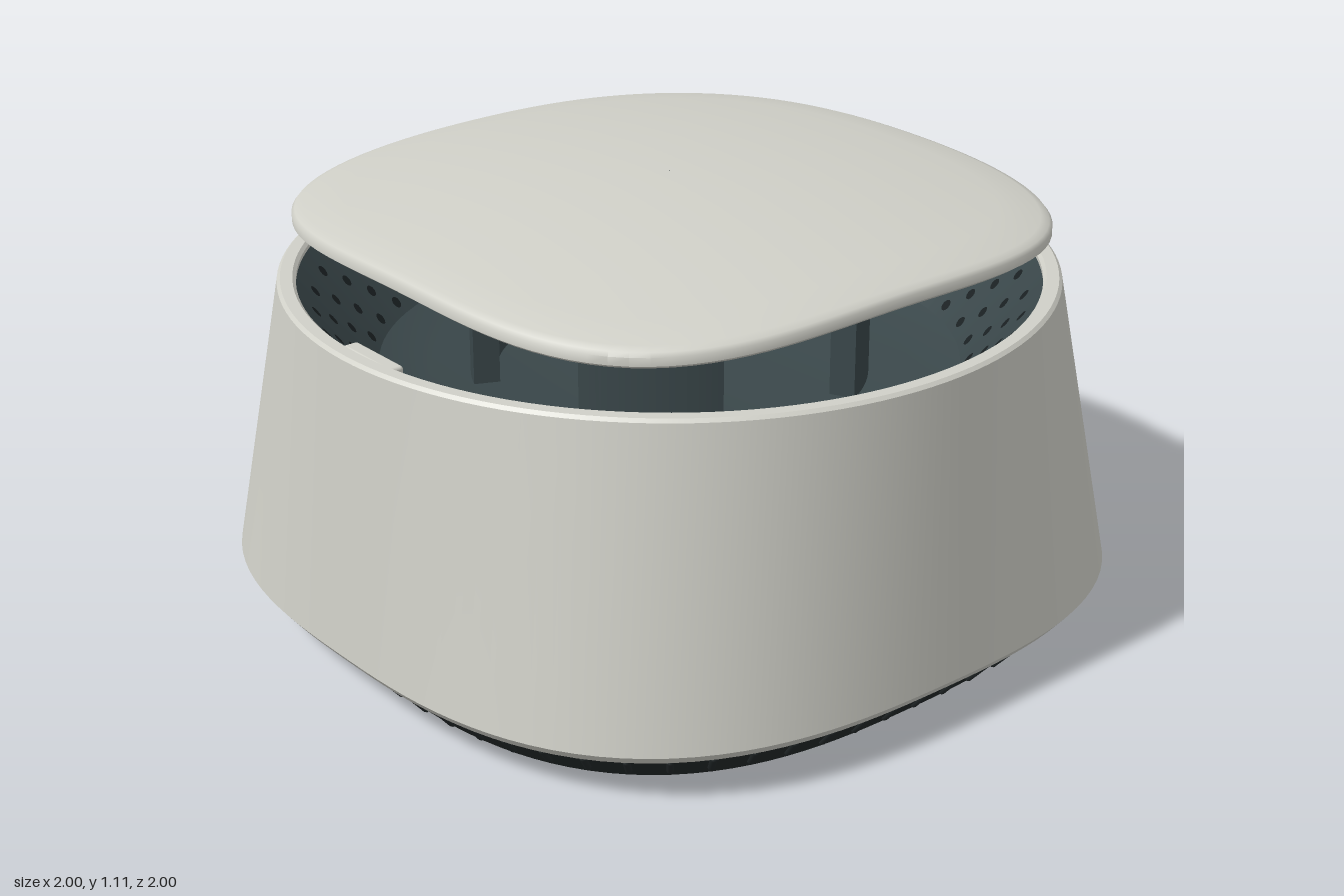
import * as THREE from 'three';
import { toCreasedNormals, mergeGeometries } from 'three/addons/utils/BufferGeometryUtils.js';
import { RoundedBoxGeometry } from 'three/addons/geometries/RoundedBoxGeometry.js';

const SEGMENTS = 128;
const BODY_N = 2.75; // squareness of the body outline (2 = circle)
const LID_N = 3.15;

// Point on a rounded-square outline
function outline(angle, half, n, y, droop = 0) {
  const c = Math.cos(angle), s = Math.sin(angle);
  const r = half / Math.pow(Math.abs(c) ** n + Math.abs(s) ** n, 1 / n);
  return new THREE.Vector3(r * c, y - droop * r * r, r * s);
}

// Skin over sections [half, n, y], listed upward on the outside
function loft(sections, droop = 0, crease = 0.5) {
  const positions = [], index = [];
  sections.forEach(([half, n, y], k) => {
    for (let i = 0; i < SEGMENTS; i++) {
      positions.push(...outline((i / SEGMENTS) * Math.PI * 2, half, n, y, droop).toArray());
      if (k === 0) continue;
      const j = (i + 1) % SEGMENTS, lo = (k - 1) * SEGMENTS, hi = k * SEGMENTS;
      index.push(lo + i, hi + i, lo + j, lo + j, hi + i, hi + j);
    }
  });
  const geometry = new THREE.BufferGeometry();
  geometry.setAttribute('position', new THREE.Float32BufferAttribute(positions, 3));
  geometry.setIndex(index);
  return toCreasedNormals(geometry, crease);
}

export function createModel() {
  const model = new THREE.Group();
  const light = new THREE.MeshStandardMaterial({ color: 0xd0d0c8 });
  const dark = new THREE.MeshStandardMaterial({ color: 0x3a474a });
  const baseDark = new THREE.MeshStandardMaterial({ color: 0x222829 });
  const black = new THREE.MeshStandardMaterial({ color: 0x1a2022 });

  const add = (name, geometry, material, parent = model) => {
    const mesh = new THREE.Mesh(geometry, material);
    mesh.name = name;
    parent.add(mesh);
    return mesh;
  };

  // Shell: rounded square at the bottom, circle at the rim
  add('bodyShell', loft([
    [0.92, BODY_N, 0.105], [0.98, BODY_N, 0.105], [1, BODY_N, 0.13],
    [0.956, 2, 0.872], [0.948, 2, 0.88], [0.918, 2, 0.88], [0.91, 2, 0.872], [0.91, 2, 0.84],
  ]), light);

  // Tapered foot with a closed underside
  const footLow = 0.87, footHigh = 0.965;
  add('base', loft([
    [0.001, BODY_N, 0], [footLow, BODY_N, 0], [footHigh, BODY_N, 0.108], [0.9, BODY_N, 0.11],
  ]), baseDark);

  // Evenly spaced grip ribs on the foot's slope
  const ring = [];
  for (let i = 0; i < 96; i++) ring.push(outline((i / 96) * Math.PI * 2, footLow, BODY_N, 0));
  const ribs = new THREE.CatmullRomCurve3(ring, true).getSpacedPoints(64).slice(0, 64).map((p) => {
    const a = Math.atan2(p.z, p.x);
    const low = outline(a, footLow, BODY_N, 0), high = outline(a, footHigh, BODY_N, 0.108);
    const dir = high.clone().sub(low).normalize();
    const mid = low.lerp(high, 0.52);
    const rib = new THREE.CapsuleGeometry(0.009, 0.07, 3, 8);
    rib.applyQuaternion(new THREE.Quaternion().setFromUnitVectors(new THREE.Vector3(0, 1, 0), dir));
    return rib.translate(mid.x, mid.y, mid.z);
  });
  add('baseRibs', mergeGeometries(ribs), baseDark);

  // Inner bowl
  const bowlProfile = [[0.001, 0.6], [0.6, 0.6], [0.72, 0.64], [0.91, 0.862]]
    .map(([x, y]) => new THREE.Vector2(x, y));
  const bowlMaterial = dark.clone();
  bowlMaterial.side = THREE.DoubleSide;
  add('innerBowl', toCreasedNormals(new THREE.LatheGeometry(bowlProfile, 96), 0.5), bowlMaterial);

  // Staggered rows of perforations on the bowl's slope
  const slope = new THREE.Vector2(0.19, 0.222).normalize();
  const holes = [];
  for (let row = 0; row < 4; row++) {
    const r = 0.87 - row * 0.042, y = 0.862 - (0.91 - r) * (0.222 / 0.19);
    for (let i = 0; i < 40; i++) {
      const a = ((i + (row % 2) / 2) / 40) * Math.PI * 2;
      const normal = new THREE.Vector3(-slope.y * Math.cos(a), slope.x, -slope.y * Math.sin(a));
      const hole = new THREE.CircleGeometry(0.016, 12);
      hole.applyQuaternion(new THREE.Quaternion().setFromUnitVectors(new THREE.Vector3(0, 0, 1), normal));
      holes.push(hole.translate(
        r * Math.cos(a) + normal.x * 0.004, y + normal.y * 0.004, r * Math.sin(a) + normal.z * 0.004));
    }
  }
  add('perforations', mergeGeometries(holes), black);

  // Four curved posts carrying the lid
  const neck = new THREE.Group();
  neck.name = 'neck';
  model.add(neck);
  const half = THREE.MathUtils.degToRad(20);
  const post = new THREE.Shape();
  post.absarc(0, 0, 0.495, -half, half, false);
  post.absarc(0, 0, 0.43, half, -half, true);
  const postGeometry = new THREE.ExtrudeGeometry(post, { depth: 0.37, bevelEnabled: false, curveSegments: 12 });
  postGeometry.rotateX(-Math.PI / 2).translate(0, 0.59, 0);
  for (let i = 0; i < 4; i++) {
    add('post', postGeometry, dark, neck).rotation.y = Math.PI / 4 + (i * Math.PI) / 2;
  }
  // Collar joining the posts to the lid
  const collar = [[0.4, 0.95], [0.47, 0.95], [0.475, 1.045], [0.4, 1.045], [0.4, 0.95]]
    .map(([x, y]) => new THREE.Vector2(x, y));
  add('collar', toCreasedNormals(new THREE.LatheGeometry(collar, 64), 0.5), dark, neck);

  // Domed lid, drooping toward its corners
  add('lid', loft([
    [0.001, LID_N, 1.055], [0.35, LID_N, 1.055], [0.6, LID_N, 1.055], [0.76, LID_N, 1.056],
    [0.8, LID_N, 1.064], [0.815, LID_N, 1.078], [0.815, LID_N, 1.098], [0.808, LID_N, 1.106],
    [0.79, LID_N, 1.11], [0.7, LID_N, 1.11], [0.55, LID_N, 1.11], [0.4, LID_N, 1.11],
    [0.25, LID_N, 1.11], [0.1, LID_N, 1.11], [0.001, LID_N, 1.11],
  ], 0.105, 0.7), light);

  // Side button with a small indicator
  const button = new THREE.Group();
  button.name = 'sideButton';
  button.position.set(0.974, 0.553, 0);
  button.rotation.z = 0.058;
  model.add(button);
  add('buttonPlate', new RoundedBoxGeometry(0.04, 0.125, 0.195, 3, 0.014), light, button);
  const dot = add('indicator', new THREE.CylinderGeometry(0.008, 0.008, 0.004, 16), black, button);
  dot.rotation.z = Math.PI / 2;
  dot.position.x = 0.02;

  // Small light bar inside the opposite rim
  add('innerBar', new RoundedBoxGeometry(0.042, 0.05, 0.19, 3, 0.008), light).position.set(-0.873, 0.835, 0);

  return model;
}
